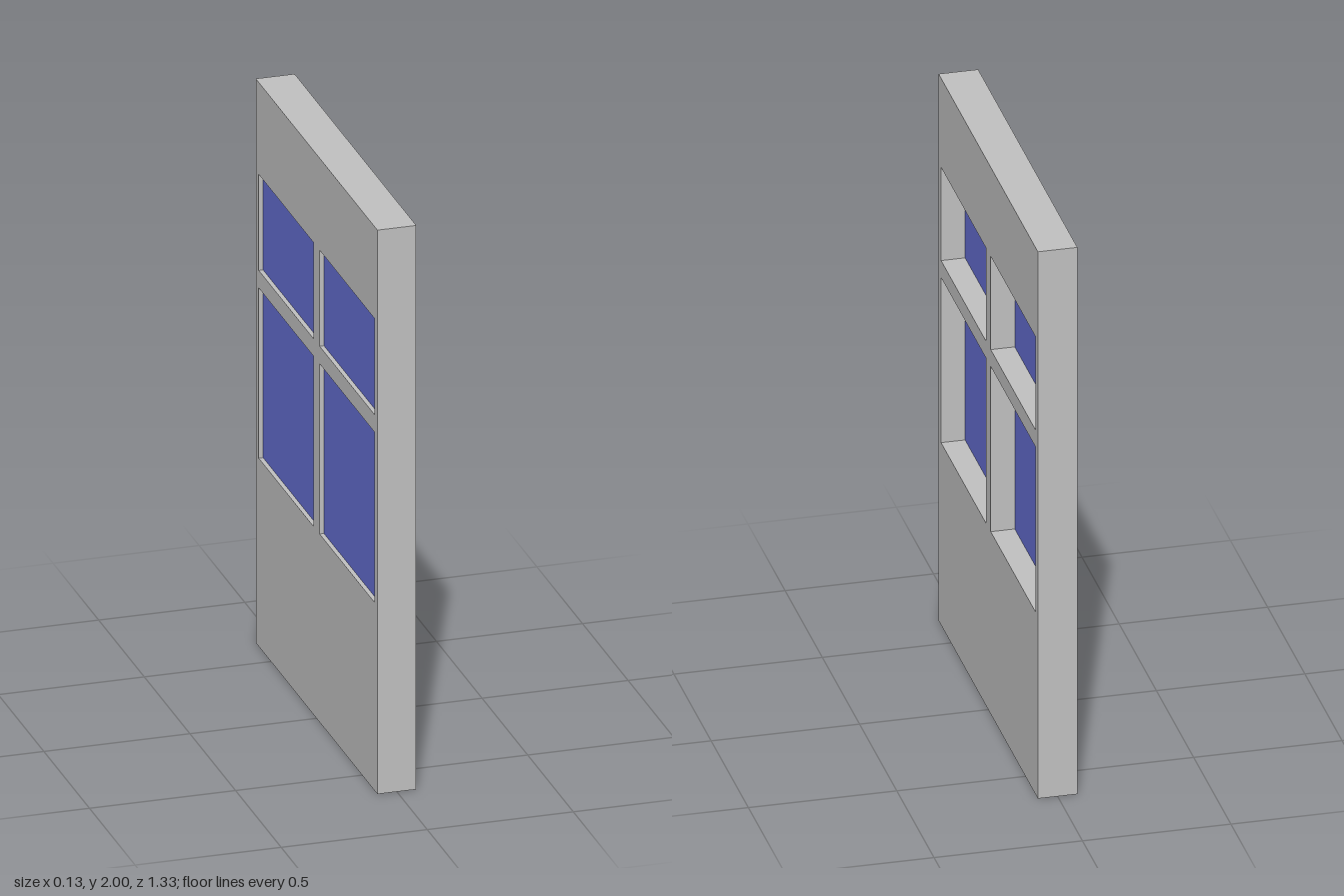
import * as THREE from 'three';

const WIDTH = 1.333, HEIGHT = 2, DEPTH = 0.133;
const GLASS_DEPTH = 0.037, GLASS_X = -0.033;

// Rows of panes: [bottom, top]; columns: [inner, outer] distance from the centre
const ROWS = [[0.667, 1.271], [1.333, 1.674]];
const [INNER, OUTER] = [0.033, 0.634];

function rectangle(target, x0, y0, x1, y1) {
  target.moveTo(x0, y0);
  target.lineTo(x1, y0);
  target.lineTo(x1, y1);
  target.lineTo(x0, y1);
  target.closePath();
  return target;
}

export function createModel() {
  const group = new THREE.Group();
  group.name = 'door';
  const grey = new THREE.MeshStandardMaterial({ name: 'doorGrey', color: 0xc0c0c0 });
  const blue = new THREE.MeshStandardMaterial({ name: 'glassBlue', color: 0x636dd0 });

  const outline = rectangle(new THREE.Shape(), -WIDTH / 2, 0, WIDTH / 2, HEIGHT);

  // Glass panes, set nearer the -x face, each with its opening in the door
  ROWS.forEach(([bottom, top], row) => {
    for (const side of [-1, 1]) {
      const z = side * (INNER + OUTER) / 2;
      const w = OUTER - INNER;
      outline.holes.push(rectangle(new THREE.Path(), z - w / 2, bottom, z + w / 2, top));

      const pane = new THREE.Mesh(new THREE.BoxGeometry(GLASS_DEPTH, top - bottom, w), blue);
      pane.name = (row ? 'upper' : 'lower') + (side > 0 ? 'Front' : 'Back') + 'Pane';
      pane.position.set(GLASS_X, (bottom + top) / 2, z);
      group.add(pane);
    }
  });

  // Door slab with the four openings, turned to face along x
  const slab = new THREE.ExtrudeGeometry(outline, { depth: DEPTH, bevelEnabled: false });
  slab.translate(0, 0, -DEPTH / 2).rotateY(Math.PI / 2);
  const frame = new THREE.Mesh(slab, grey);
  frame.name = 'doorFrame';
  group.add(frame);

  return group;
}
